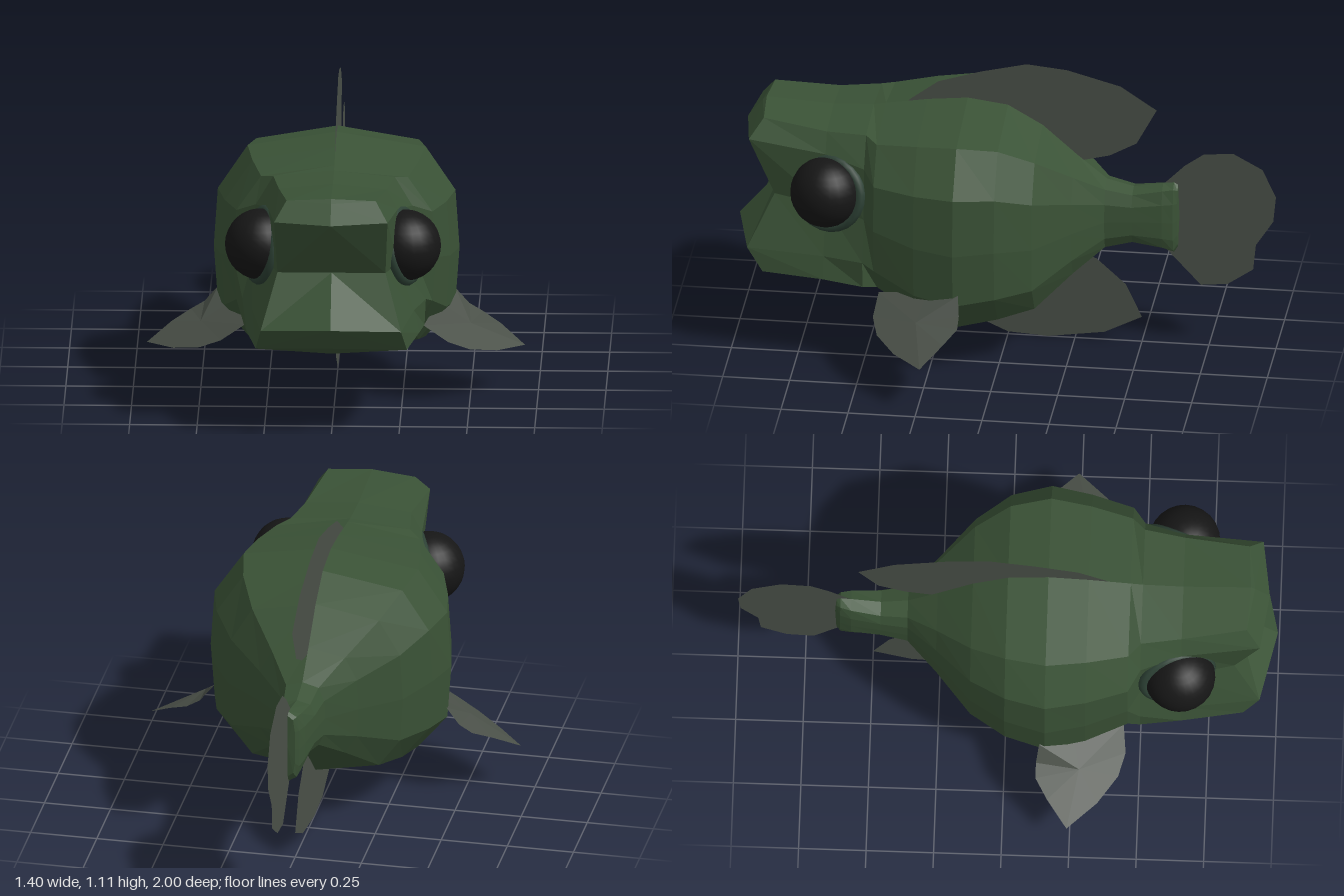
import * as THREE from 'three';

const skin = new THREE.MeshStandardMaterial({ color: 0x3a5236, flatShading: true });
const rimSkin = new THREE.MeshStandardMaterial({ color: 0x2c4034 });
const finSkin = new THREE.MeshStandardMaterial({ color: 0x4a5048, side: THREE.DoubleSide });
const eyeBlack = new THREE.MeshStandardMaterial({ color: 0x161616 });

// Half rings run from the top centre down the left side to the bottom centre: [x, y, z]
const headRings = [
  [[0, 0.92, 0.9], [0.165, 0.91, 0.89], [0.21, 0.84, 0.94], [0.2, 0.62, 0.845],
    [0.26, 0.42, 0.94], [0.28, 0.335, 0.88], [0, 0.3, 0.82]],
  [[0, 0.905, 0.65], [0.2, 0.885, 0.65], [0.24, 0.81, 0.65], [0.24, 0.6, 0.65],
    [0.3, 0.42, 0.65], [0.32, 0.335, 0.65], [0, 0.3, 0.63]],
  [[0, 0.912, 0.5], [0.225, 0.89, 0.5], [0.29, 0.78, 0.5], [0.3, 0.58, 0.5],
    [0.34, 0.42, 0.5], [0.335, 0.32, 0.5], [0, 0.28, 0.48]],
];

// Centre line of the face, as y and z, one point per ring row
const faceLine = [[0.92, 0.9], [0.905, 0.915], [0.835, 0.97], [0.62, 0.845], [0.44, 1], [0.35, 0.925], [0.3, 0.82]];

// Trunk sections: z, top, bottom, half width
const trunk = [
  [0.455, 0.92, 0.25, 0.375], [0.3, 0.945, 0.155, 0.425], [0.15, 0.96, 0.12, 0.455],
  [0, 0.94, 0.15, 0.415], [-0.13, 0.865, 0.18, 0.33], [-0.26, 0.75, 0.3, 0.19],
  [-0.37, 0.66, 0.39, 0.085], [-0.47, 0.635, 0.415, 0.07], [-0.58, 0.655, 0.39, 0.055],
  [-0.62, 0.66, 0.375, 0.042], [-0.635, 0.65, 0.4, 0.028],
];
const sectionShape = [[0, 1], [0.725, 0.87], [0.967, 0.476], [1, -0.05], [0.967, -0.55], [0.725, -0.87], [0, -1]];

const mirror = ([x, y, z]) => [-x, y, z];

function meshFromTriangles(triangles, material, name) {
  const geometry = new THREE.BufferGeometry();
  geometry.setAttribute('position', new THREE.Float32BufferAttribute(triangles.flat(2), 3));
  geometry.computeVertexNormals();
  const mesh = new THREE.Mesh(geometry, material);
  mesh.name = name;
  return mesh;
}

function createBody() {
  const halves = headRings.concat(trunk.map(([z, top, bottom, w]) =>
    sectionShape.map(([sx, sy]) => [sx * w, (top + bottom) / 2 + sy * (top - bottom) / 2, z])));
  const rings = halves.map(h => [...h, ...h.slice(1, -1).reverse().map(mirror)]);
  const triangles = [];
  const quad = (a, b, c, d) => triangles.push([a, b, c], [a, c, d]);
  const n = rings[0].length;

  // Skin between neighbouring rings
  for (let i = 0; i < rings.length - 1; i++) {
    for (let j = 0; j < n; j++) {
      const k = (j + 1) % n;
      quad(rings[i][j], rings[i][k], rings[i + 1][k], rings[i + 1][j]);
    }
  }
  // Lips and mouth hollow
  const edge = halves[0];
  const centre = faceLine.map(([y, z]) => [0, y, z]);
  for (let j = 0; j < centre.length - 1; j++) {
    quad(centre[j], centre[j + 1], edge[j + 1], edge[j]);
    quad(centre[j], mirror(edge[j]), mirror(edge[j + 1]), centre[j + 1]);
  }
  // End of the tail stalk
  const last = rings[rings.length - 1];
  last.forEach((p, j) => triangles.push([[0, 0.525, -0.64], p, last[(j + 1) % n]]));
  return meshFromTriangles(triangles, skin, 'body');
}

// Flat upright fin on the centre plane, outlined by z and y
function createUprightFin(name, outline) {
  const shape = new THREE.Shape(outline.map(([z, y]) => new THREE.Vector2(z, y)));
  const fin = new THREE.Mesh(new THREE.ShapeGeometry(shape).rotateY(-Math.PI / 2), finSkin);
  fin.name = name;
  return fin;
}

// Slightly cupped side fin
function createSideFin(side) {
  const outline = [
    [0.33, 0.3, 0.44], [0.42, 0.24, 0.45], [0.5, 0.205, 0.425], [0.6, 0.18, 0.35], [0.7, 0.17, 0.24],
    [0.61, 0.23, 0.165], [0.54, 0.265, 0.12], [0.49, 0.295, 0.12], [0.44, 0.355, 0.13], [0.38, 0.34, 0.25],
  ].map(p => (side < 0 ? mirror(p) : p));
  const middle = [side * 0.5, 0.265, 0.28];
  const triangles = outline.map((p, i) => [middle, p, outline[(i + 1) % outline.length]]);
  return meshFromTriangles(triangles, finSkin, side > 0 ? 'leftSideFin' : 'rightSideFin');
}

function createEye(side) {
  const group = new THREE.Group();
  group.name = side > 0 ? 'leftEye' : 'rightEye';
  const ball = new THREE.Mesh(new THREE.SphereGeometry(0.132, 24, 16), eyeBlack);
  ball.name = 'eyeball';
  ball.position.set(side * 0.268, 0.67, 0.645);
  // Fleshy rim facing outward, a little forward and up
  const rim = new THREE.Mesh(new THREE.TorusGeometry(0.128, 0.022, 8, 24), rimSkin);
  rim.name = 'eyeRim';
  rim.position.set(side * 0.262, 0.665, 0.635);
  rim.quaternion.setFromUnitVectors(new THREE.Vector3(0, 0, 1),
    new THREE.Vector3(side * 0.92, 0.2, 0.32).normalize());
  group.add(ball, rim);
  return group;
}

export function createModel() {
  const model = new THREE.Group();
  model.name = 'fish';
  model.add(createBody());
  model.add(createUprightFin('dorsalFin', [
    [0.4, 0.91], [0.36, 0.945], [0.26, 1.02], [0.1, 1.07], [-0.07, 1.11], [-0.22, 1.095],
    [-0.42, 1.04], [-0.555, 0.95], [-0.48, 0.81], [-0.38, 0.755], [-0.28, 0.73], [-0.13, 0.8], [0.1, 0.88],
  ]));
  model.add(createUprightFin('tailFin', [
    [-0.55, 0.62], [-0.66, 0.73], [-0.73, 0.78], [-0.84, 0.79], [-0.95, 0.73], [-1, 0.62],
    [-0.99, 0.52], [-0.925, 0.42], [-0.915, 0.32], [-0.82, 0.255], [-0.72, 0.245], [-0.55, 0.43],
  ]));
  model.add(createUprightFin('bellyFin', [
    [0.36, 0.2], [0.2, 0.1], [0, 0.01], [-0.15, 0], [-0.36, 0.03],
    [-0.5, 0.1], [-0.44, 0.23], [-0.33, 0.33], [-0.25, 0.36], [0, 0.24],
  ]));
  for (const side of [1, -1]) model.add(createSideFin(side), createEye(side));
  return model;
}
